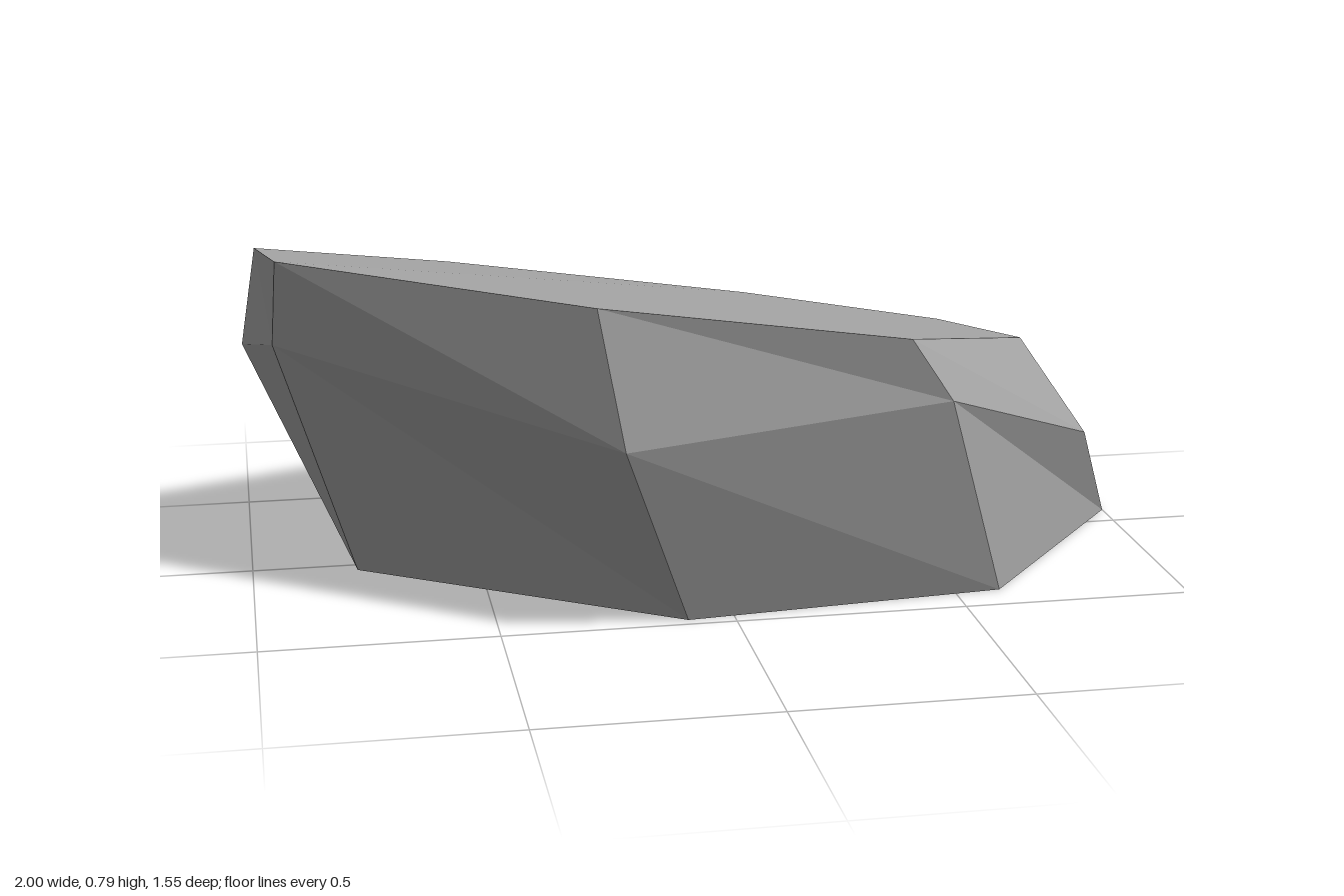
import * as THREE from 'three';

// Eight-sided cross-sections of the leaning rock, counterclockwise from above
const base = [
  [-0.77, 0, 0.035], [-0.1, 0, 0.475], [0.6, 0, 0.41], [1, 0, -0.08],
  [0.91, 0, -0.51], [0.45, 0, -0.745], [-0.31, 0, -0.775], [-0.8, 0, -0.475],
];
const middle = [
  [-0.94, 0.595, 0.305], [-0.27, 0.455, 0.735], [0.415, 0.505, 0.655], [0.855, 0.28, 0.19],
  [0.73, 0.26, -0.24], [0.29, 0.26, -0.485], [-0.48, 0.45, -0.505], [-1, 0.465, -0.22],
];
const top = [
  [-0.93, 0.79, 0.39], [-0.33, 0.76, 0.773], [0.31, 0.655, 0.715], [0.67, 0.53, 0.275],
  [0.59, 0.48, -0.11], [0.175, 0.508, -0.335], [-0.52, 0.605, -0.36], [-0.965, 0.715, -0.085],
];

// Band of facets between two cross-sections
function band(lower, upper) {
  return lower.flatMap((p, i) => {
    const j = (i + 1) % lower.length;
    return [p, lower[j], upper[i], lower[j], upper[j], upper[i]];
  });
}

// Flat face closing a cross-section
function cap(ring) {
  const corners = [];
  for (let i = 1; i < ring.length - 1; i++) corners.push(ring[0], ring[i], ring[i + 1]);
  return corners;
}

function facets(name, corners, material) {
  const geometry = new THREE.BufferGeometry();
  geometry.setAttribute('position', new THREE.Float32BufferAttribute(corners.flat(), 3));
  geometry.computeVertexNormals();
  const mesh = new THREE.Mesh(geometry, material);
  mesh.name = name;
  return mesh;
}

export function createModel() {
  const stone = new THREE.MeshStandardMaterial({ color: 0xaaaaaa, flatShading: true });
  stone.name = 'stoneGrey';

  const rock = new THREE.Group();
  rock.name = 'rock';
  rock.add(
    facets('lowerSides', band(base, middle), stone),
    facets('upperSides', band(middle, top), stone),
    facets('topFace', cap(top), stone),
    facets('bottomFace', cap([...base].reverse()), stone),
  );
  return rock;
}
